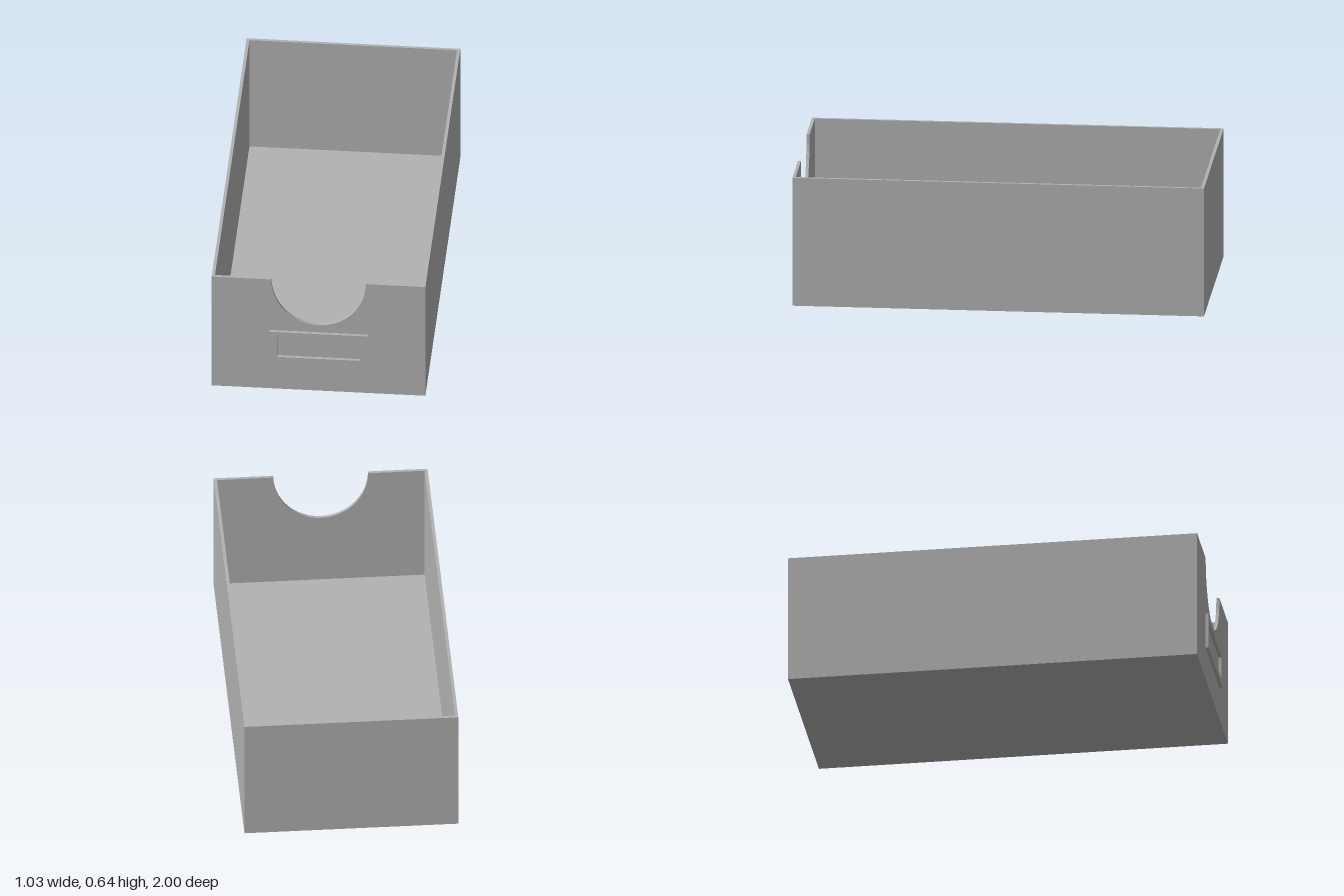
import * as THREE from 'three';

const W = 0.515, H = 0.64, BACK = -1, FRONT = 0.985, T = 0.015;

export function createModel() {
  const model = new THREE.Group();
  model.name = 'storageBox';
  const grey = new THREE.MeshStandardMaterial({ color: 0xb2b2b2 });
  grey.name = 'grey';

  const add = (name, geometry, x, y, z) => {
    const mesh = new THREE.Mesh(geometry, grey);
    mesh.name = name;
    mesh.position.set(x, y, z);
    model.add(mesh);
  };
  const extrude = (shape, depth) =>
    new THREE.ExtrudeGeometry(shape, { depth, bevelEnabled: false, curveSegments: 32 });

  // Floor and plain walls, fitted between the end panels
  const inner = FRONT - BACK - 2 * T, midZ = (FRONT + BACK) / 2;
  add('floor', new THREE.BoxGeometry(2 * (W - T), T, inner), 0, T / 2, midZ);
  add('backWall', new THREE.BoxGeometry(2 * W, H, T), 0, H / 2, BACK + T / 2);
  for (const [name, s] of [['leftWall', 1], ['rightWall', -1]]) {
    add(name, new THREE.BoxGeometry(T, H, inner), s * (W - T / 2), H / 2, midZ);
  }

  // Front wall with a rounded hand notch in its top edge
  const notchX = 0.228, notchY = 0.255;
  const front = new THREE.Shape();
  front.moveTo(-W, 0);
  front.lineTo(W, 0);
  front.lineTo(W, H);
  front.lineTo(notchX, H);
  front.absellipse(0, H, notchX, notchY, 0, Math.PI, true);
  front.lineTo(-W, H);
  front.closePath();
  add('frontWall', extrude(front, T), 0, 0, FRONT - T);

  // Label holder: a raised rectangular frame
  const rect = (path, x, y0, y1) => {
    path.moveTo(-x, y0);
    path.lineTo(x, y0);
    path.lineTo(x, y1);
    path.lineTo(-x, y1);
    path.closePath();
    return path;
  };
  const frame = rect(new THREE.Shape(), 0.237, 0.163, 0.343);
  frame.holes.push(rect(new THREE.Path(), 0.198, 0.197, 0.31));
  add('labelFrame', extrude(frame, 1 - FRONT), 0, 0, FRONT);

  return model;
}
